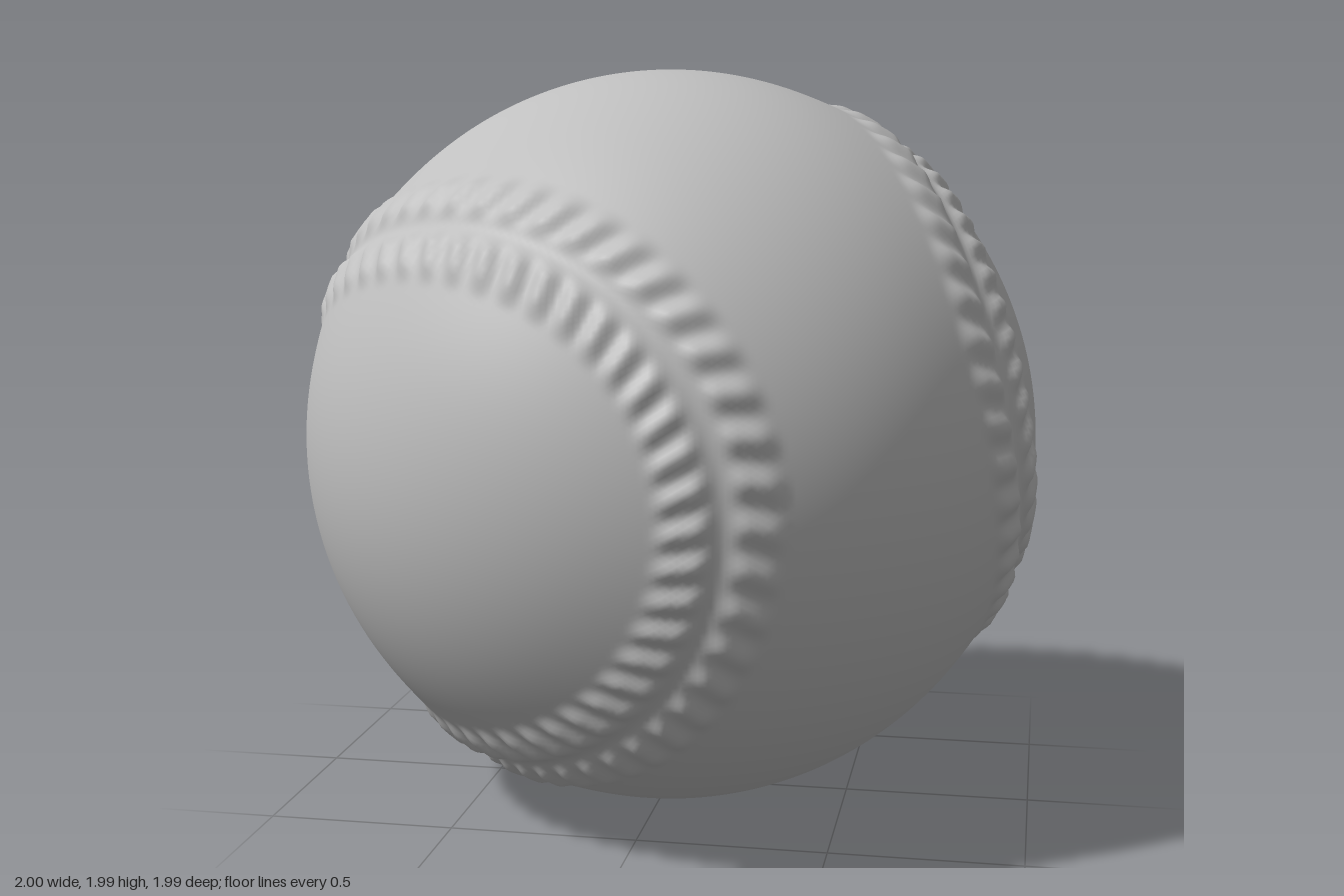
import * as THREE from 'three';
import { mergeVertices } from 'three/addons/utils/BufferGeometryUtils.js';

const RADIUS = 0.994;
const STITCHES = 108;
const SAMPLES = 900;

// Closed seam curve on the unit sphere, in the tilted frame of the ball
function seamSamples() {
  const p = new THREE.Vector3(-0.25, 0.966, -0.03).normalize();   // lobe axis of the first panel
  const a = new THREE.Vector3(0.66, 0.17, 0.72);                  // waist of the first panel
  a.addScaledVector(p, -a.dot(p)).normalize();
  const q = new THREE.Vector3().crossVectors(a, p);               // lobe axis of the second panel
  const u = p.clone().add(q).multiplyScalar(Math.SQRT1_2);
  const v = q.clone().sub(p).multiplyScalar(Math.SQRT1_2);
  const b = 0.277, c = 1 - b, w = 2 * Math.sqrt(b * c);
  const pts = [];
  for (let i = 0; i < SAMPLES; i++) {
    const t = (i / SAMPLES) * Math.PI * 2;
    pts.push(new THREE.Vector3()
      .addScaledVector(u, c * Math.cos(t) + b * Math.cos(3 * t))
      .addScaledVector(v, c * Math.sin(t) - b * Math.sin(3 * t))
      .addScaledVector(a, w * Math.sin(2 * t)));
  }
  // Distance along the seam and direction at each sample
  let length = 0;
  const samples = pts.map((pos, i) => {
    const next = pts[(i + 1) % SAMPLES], prev = pts[(i + SAMPLES - 1) % SAMPLES];
    const s = length;
    length += pos.distanceTo(next);
    return { pos, s, dir: next.clone().sub(prev).normalize() };
  });
  return { samples, length };
}

const gauss = (x, width) => Math.exp(-((x / width) ** 2));

// Height of the swollen seam, its groove and its slanted stitches
function relief(d, s, spacing) {
  const swell = 0.01 * gauss(d, 0.15);
  const groove = 0.007 * gauss(d, 0.022);
  const band = THREE.MathUtils.smoothstep(d, 0.015, 0.06) * (1 - THREE.MathUtils.smoothstep(d, 0.11, 0.17));
  const wave = 0.5 + 0.5 * Math.cos(2 * Math.PI * (s / spacing - d * 3));
  return swell - groove + 0.017 * band * wave;
}

export function createModel() {
  const group = new THREE.Group();
  group.name = 'ball';
  const leather = new THREE.MeshStandardMaterial({ color: 0xbfbfbf });
  leather.name = 'grey leather';

  // Evenly divided sphere, raised along the seam
  let geometry = new THREE.IcosahedronGeometry(1, 80);
  geometry.deleteAttribute('normal');
  geometry.deleteAttribute('uv');
  geometry = mergeVertices(geometry, 1e-3);

  const { samples, length } = seamSamples();
  const spacing = length / STITCHES;
  const pos = geometry.attributes.position;
  const n = new THREE.Vector3(), delta = new THREE.Vector3();
  for (let i = 0; i < pos.count; i++) {
    n.fromBufferAttribute(pos, i).normalize();
    let best = samples[0], bestDot = -2;
    for (const sample of samples) {
      const dot = n.dot(sample.pos);
      if (dot > bestDot) { bestDot = dot; best = sample; }
    }
    delta.subVectors(n, best.pos);
    const along = delta.dot(best.dir);
    const across = Math.sqrt(Math.max(0, delta.lengthSq() - along * along));
    const r = RADIUS + relief(across, best.s + along, spacing);
    pos.setXYZ(i, n.x * r, n.y * r, n.z * r);
  }
  geometry.computeVertexNormals();

  const ball = new THREE.Mesh(geometry, leather);
  ball.name = 'stitchedLeatherCover';
  ball.position.y = RADIUS;
  group.add(ball);
  return group;
}
